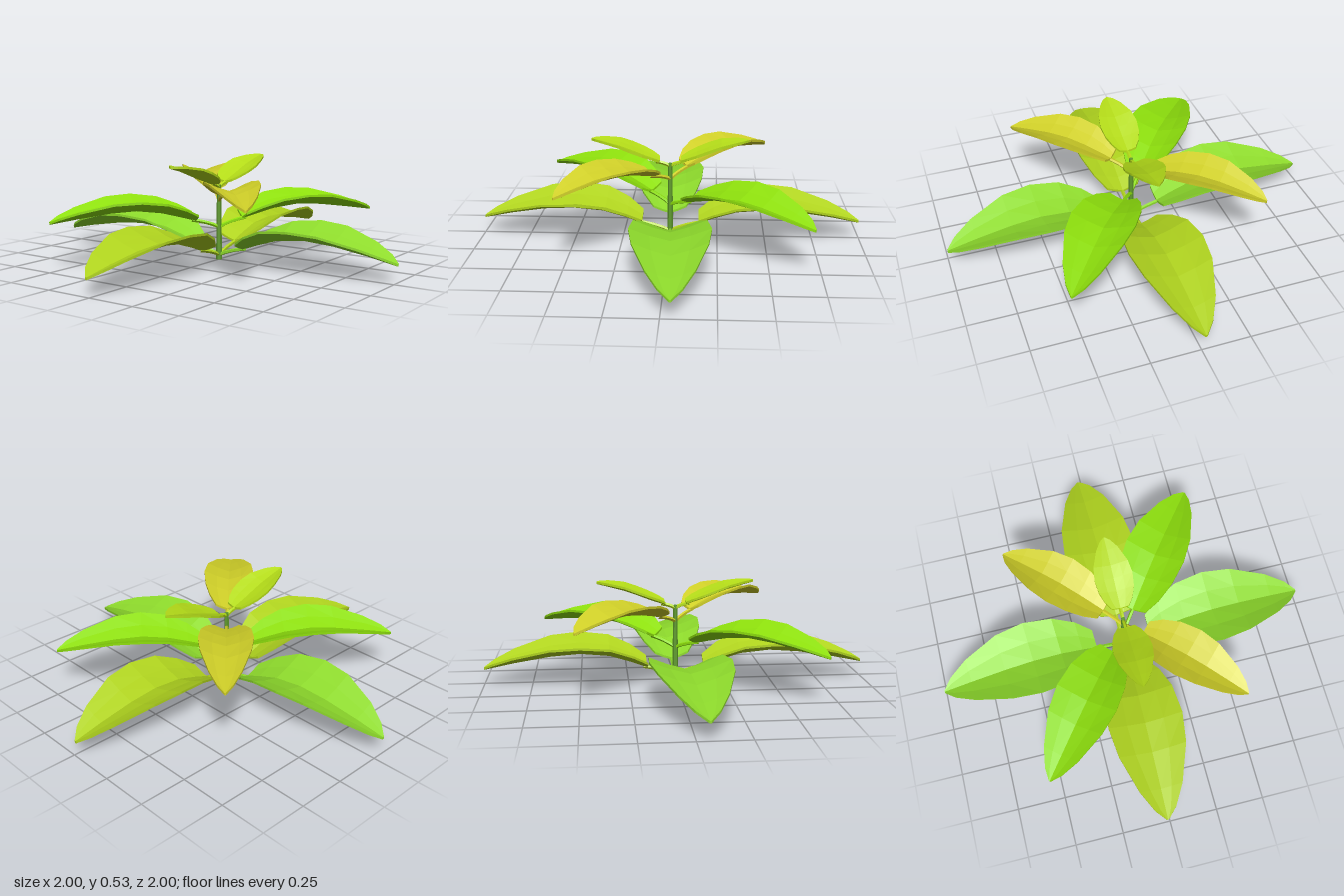
import * as THREE from 'three';

// Width of a leaf along its length: [fraction of length, fraction of half width]
const OUTLINE = [[0, 0.45], [0.1, 0.72], [0.24, 0.92], [0.42, 1], [0.6, 0.9], [0.82, 0.57], [0.94, 0.28], [1, 0.03]];
const ACROSS = [-1, -0.5, 0, 0.5, 1];
const THICK = 0.012;

function material(color) {
  return new THREE.MeshStandardMaterial({ color, flatShading: true });
}

// Closed, folded blade growing along +z; the midrib follows a curve of (distance, height) points
function leafGeometry(rib, halfWidth, fold) {
  const curve = new THREE.SplineCurve(rib.map(([r, y]) => new THREE.Vector2(r, y)));
  const positions = [], index = [];
  const n = ACROSS.length * 2;
  for (const [t, w] of OUTLINE) {
    const p = curve.getPointAt(t);
    const lift = fold * Math.min(1, w * 1.15);
    const top = ACROSS.map((u) => [u * w * halfWidth, p.y + lift * Math.abs(u) ** 1.25, p.x]);
    const bottom = top.map(([x, y, z]) => [x, y - THICK, z]).reverse();
    positions.push(...top.flat(), ...bottom.flat());
  }
  for (let s = 0; s < OUTLINE.length - 1; s++) {
    for (let i = 0; i < n; i++) {
      const a = s * n + i, b = s * n + (i + 1) % n;
      index.push(a, a + n, b, b, a + n, b + n);
    }
  }
  // Caps at the base and the tip
  const end = (OUTLINE.length - 1) * n;
  for (let i = 0; i < ACROSS.length - 1; i++) {
    const [a, b, c, d] = [i, i + 1, n - 2 - i, n - 1 - i];
    index.push(a, b, c, a, c, d);
    index.push(end + a, end + c, end + b, end + a, end + d, end + c);
  }
  const geometry = new THREE.BufferGeometry();
  geometry.setAttribute('position', new THREE.Float32BufferAttribute(positions, 3));
  geometry.setIndex(index);
  geometry.computeVertexNormals();
  return geometry;
}

// Each tier: tips seen from above, midrib profile, height where the stalk leaves the stem
const TIERS = [
  { name: 'lowerSideLeaf', color: 0x8fdc2c, tips: [[1, -0.045], [-1, 0.06]], stemY: 0.025, halfWidth: 0.2, fold: 0.065,
    rib: [[0.15, 0.08], [0.34, 0.145], [0.52, 0.162], [0.75, 0.138], [1, 0.09]] },
  { name: 'lowerEndLeaf', color: 0xb0d41e, tips: [[-0.02, -1], [-0.015, 1]], stemY: 0.025, halfWidth: 0.195, fold: 0.065,
    rib: [[0.15, 0.08], [0.34, 0.145], [0.52, 0.162], [0.75, 0.138], [1, 0.09]] },
  { name: 'middleLeaf', color: 0x8ee00c, tips: [[0.53, -0.71], [-0.55, 0.69]], stemY: 0.175, halfWidth: 0.165, fold: 0.058,
    rib: [[0.13, 0.225], [0.32, 0.275], [0.48, 0.29], [0.68, 0.27], [0.885, 0.24]] },
  { name: 'upperLeaf', color: 0xd0d028, tips: [[-0.53, -0.52], [0.515, 0.53]], stemY: 0.315, halfWidth: 0.135, fold: 0.05,
    rib: [[0.12, 0.365], [0.27, 0.4], [0.42, 0.415], [0.58, 0.4], [0.74, 0.375]] },
  { name: 'topLeaf', color: 0xb4dc18, tips: [[0, -1], [0, 1]], stemY: 0.385, halfWidth: 0.1, fold: 0.022,
    rib: [[0.055, 0.415], [0.15, 0.448], [0.26, 0.49], [0.41, 0.53]] },
];

export function createModel() {
  const plant = new THREE.Group();
  plant.name = 'plant';

  // Central stem
  const stem = new THREE.Mesh(new THREE.CylinderGeometry(0.011, 0.016, 0.4, 6), material(0x5f9a2c));
  stem.name = 'stem';
  stem.position.y = 0.2;
  plant.add(stem);

  for (const { name, color, tips, stemY, halfWidth, fold, rib } of TIERS) {
    const blade = leafGeometry(rib, halfWidth, fold);
    // Stalk from the stem to just inside the blade's base
    const [r, y] = rib[0];
    const path = new THREE.QuadraticBezierCurve3(
      new THREE.Vector3(0, stemY, 0),
      new THREE.Vector3(0, stemY + (y - stemY) * 0.6, r * 0.45),
      new THREE.Vector3(0, y - THICK / 2, r + 0.02));
    const stalk = new THREE.TubeGeometry(path, 4, 0.01, 5);
    const skin = material(color);
    for (const [x, z] of tips) {
      const leaf = new THREE.Group();
      leaf.name = name;
      const bladeMesh = new THREE.Mesh(blade, skin);
      bladeMesh.name = 'blade';
      const stalkMesh = new THREE.Mesh(stalk, skin);
      stalkMesh.name = 'stalk';
      leaf.add(bladeMesh, stalkMesh);
      leaf.rotation.y = Math.atan2(x, z);
      plant.add(leaf);
    }
  }
  return plant;
}
